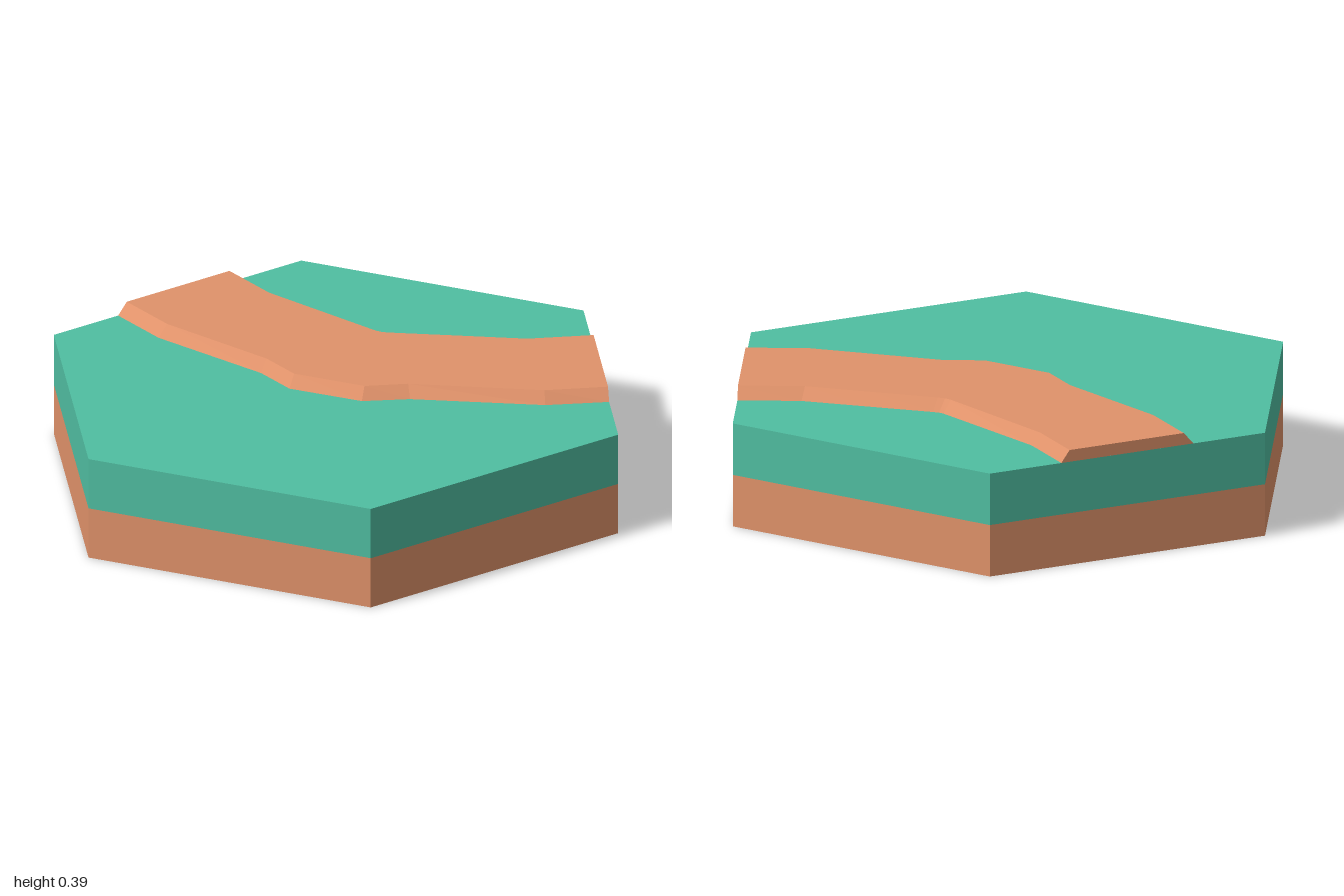
import * as THREE from 'three';

const BASE = 0.35, TOP = 0.39;

// Stations along the path: [x, z] of back foot, back crest, front crest, front foot
const STATIONS = [
  [[-0.866, -0.24], [-0.866, -0.21], [-0.866, 0.205], [-0.866, 0.24]],
  [[-0.65, -0.24], [-0.65, -0.21], [-0.645, 0.205], [-0.645, 0.24]],
  [[-0.21, -0.34], [-0.2, -0.308], [-0.23, 0.11], [-0.22, 0.14]],
  [[-0.195, -0.348], [-0.178, -0.318], [-0.08, 0.11], [-0.065, 0.14]],
  [[-0.18, -0.362], [-0.16, -0.335], [0.135, -0.015], [0.155, 0.01]],
  [[-0.03, -0.526], [-0.008, -0.5], [0.205, -0.14], [0.235, -0.125]],
  [[0.12, -0.69], [0.145, -0.665], [0.51, -0.465], [0.535, -0.45]],
  [[0.22, -0.873], [0.25, -0.856], [0.61, -0.648], [0.638, -0.632]],
];

// Raised strip with sloping shoulders and closed ends
function pathGeometry() {
  const rows = STATIONS.map((row) =>
    row.map(([x, z], i) => [x, i === 1 || i === 2 ? TOP : BASE, z]));
  const positions = [];
  const quad = (a, b, c, d) => positions.push(...a, ...b, ...c, ...a, ...c, ...d);
  for (let s = 0; s < rows.length - 1; s++) {
    for (let i = 0; i < 3; i++) {
      quad(rows[s][i], rows[s][i + 1], rows[s + 1][i + 1], rows[s + 1][i]);
    }
  }
  const first = rows[0], last = rows[rows.length - 1];
  quad(first[0], first[3], first[2], first[1]);
  quad(last[0], last[1], last[2], last[3]);
  const geometry = new THREE.BufferGeometry();
  geometry.setAttribute('position', new THREE.Float32BufferAttribute(positions, 3));
  geometry.computeVertexNormals();
  return geometry;
}

export function createModel() {
  const dirt = new THREE.MeshStandardMaterial({ color: 0xe0926a });
  dirt.name = 'dirt';
  dirt.flatShading = true;
  const grass = new THREE.MeshStandardMaterial({ color: 0x50bea1 });
  grass.name = 'grass';
  grass.flatShading = true;

  const model = new THREE.Group();
  model.name = 'hexagonTile';
  const add = (name, geometry, material, y = 0) => {
    const mesh = new THREE.Mesh(geometry, material);
    mesh.name = name;
    mesh.position.y = y;
    model.add(mesh);
  };

  // Two equal hexagonal layers with the bent path on top
  const layer = new THREE.CylinderGeometry(1, 1, BASE / 2, 6);
  add('dirtLayer', layer, dirt, BASE * 0.25);
  add('grassLayer', layer, grass, BASE * 0.75);
  add('dirtPath', pathGeometry(), dirt);
  return model;
}
